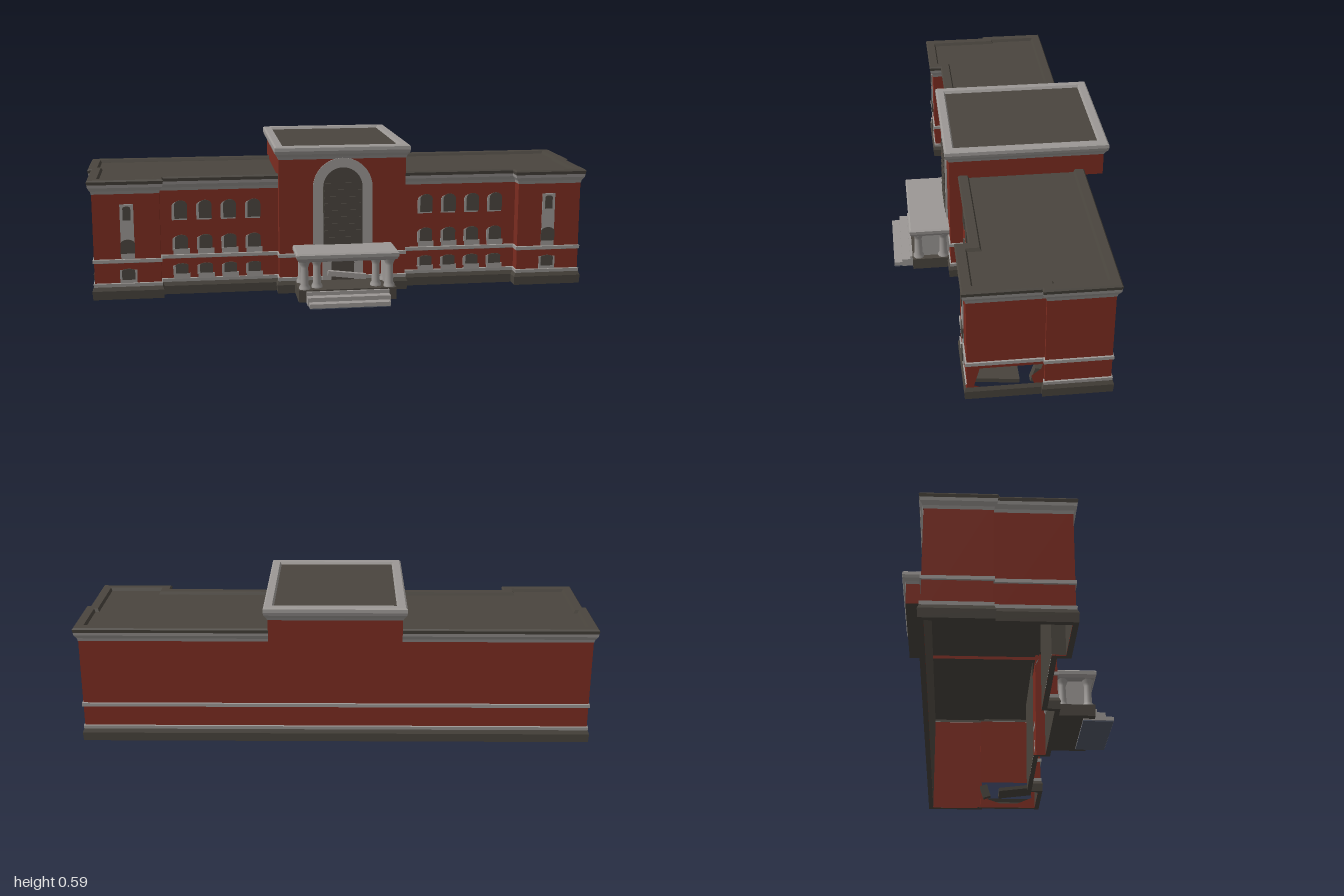
import * as THREE from 'three';

const mat = (name, color) => {
  const m = new THREE.MeshStandardMaterial({ color, side: THREE.DoubleSide });
  m.name = name;
  return m;
};

export function createModel() {
  const brick = mat('red brick', 0x7c2c20);
  const stone = mat('grey stone', 0x9c9895);
  const dark = mat('dark roof', 0x4a453e);
  const slate = mat('blue slate', 0x535a69);
  const model = new THREE.Group();

  const add = (name, geometry, material, x = 0, y = 0, z = 0, parent = model) => {
    const mesh = new THREE.Mesh(geometry, material);
    mesh.name = name;
    mesh.position.set(x, y, z);
    parent.add(mesh);
    return mesh;
  };
  // box given by its minimum and maximum corners
  const box = (name, material, x0, x1, y0, y1, z0, z1) =>
    add(name, new THREE.BoxGeometry(x1 - x0, y1 - y0, z1 - z0), material,
      (x0 + x1) / 2, (y0 + y1) / 2, (z0 + z1) / 2);

  // push a right-angled plan [x, z] outwards by o
  const offset = (plan, o) => plan.map((p, i) => {
    const n = plan.length, a = plan[(i + n - 1) % n], b = plan[(i + 1) % n];
    const n1 = [-Math.sign(p[1] - a[1]), Math.sign(p[0] - a[0])];
    const n2 = [-Math.sign(b[1] - p[1]), Math.sign(b[0] - p[0])];
    return [p[0] + o * (n1[0] + n2[0]), p[1] + o * (n1[1] + n2[1])];
  });
  // sweep a profile of [offset, height] round a plan, leaving out some edges
  const sweep = (name, material, plan, profile, skip = []) => {
    const v = [];
    for (let k = 0; k + 1 < profile.length; k++) {
      const lo = offset(plan, profile[k][0]), hi = offset(plan, profile[k + 1][0]);
      plan.forEach((_, i) => {
        if (skip.includes(i)) return;
        const j = (i + 1) % plan.length, y0 = profile[k][1], y1 = profile[k + 1][1];
        const a = [lo[i][0], y0, lo[i][1]], b = [lo[j][0], y0, lo[j][1]];
        const c = [hi[j][0], y1, hi[j][1]], d = [hi[i][0], y1, hi[i][1]];
        v.push(...a, ...b, ...c, ...a, ...c, ...d);
      });
    }
    const g = new THREE.BufferGeometry();
    g.setAttribute('position', new THREE.Float32BufferAttribute(v, 3));
    g.computeVertexNormals();
    return add(name, g, material);
  };
  const cap = (name, material, plan, y) => {
    const s = new THREE.Shape(plan.map(([x, z]) => new THREE.Vector2(x, -z)));
    return add(name, new THREE.ShapeGeometry(s).rotateX(-Math.PI / 2), material, 0, y, 0);
  };
  const rect = (x, z0, z1) => [[-x, z1], [x, z1], [x, z0], [-x, z0]];

  // plan of the building: centre bay, wings and end pavilions
  const half = [[0.25, 0.195], [0.25, 0.145], [0.71, 0.145], [0.71, 0.195],
    [0.965, 0.195], [0.965, -0.075], [0.98, -0.075], [0.98, -0.31]];
  const mirror = (pts) => [...pts, ...pts.map(([x, z]) => [-x, z]).reverse()];
  const plan = mirror(half);
  const wingPlan = mirror(half.map(([x, z], i) => [i < 2 ? 0.22 : x, z]));
  const centre = [0, 14, 15], brokenEnd = 4;

  // hollow brick shell with stone bands and a dark plinth
  sweep('walls', brick, plan, [[0, 0.01], [0, 0.45]], [brokenEnd]);
  sweep('innerLining', dark, plan, [[-0.012, 0.01], [-0.012, 0.44]], [0, 4, 5, 6, 8, 9, 10, 14]);
  sweep('plinth', dark, plan, [[-0.012, 0.006], [0.008, 0.006], [0.01, 0.04], [0.004, 0.055]]);
  sweep('lowerBand', stone, plan, [[0.004, 0.055], [0.005, 0.068], [0, 0.07]], [brokenEnd]);
  sweep('middleBand', stone, plan, [[0, 0.148], [0.005, 0.15], [0.005, 0.163], [0, 0.165]]);
  sweep('cornice', stone, wingPlan,
    [[0.001, 0.42], [0.004, 0.432], [0.013, 0.446], [0.015, 0.458]], centre);
  sweep('roofRim', dark, wingPlan,
    [[0.015, 0.458], [0.017, 0.47], [0.012, 0.476], [-0.02, 0.476], [-0.026, 0.464]], centre);
  cap('wingRoof', dark, wingPlan, 0.464);

  // left end wall with a broken opening
  const end = new THREE.Shape([[-0.195, 0.01], [0.075, 0.01], [0.075, 0.45], [-0.195, 0.45]]
    .map((p) => new THREE.Vector2(...p)));
  end.holes.push(new THREE.Path([[-0.17, 0.06], [-0.15, 0.135], [0.07, 0.135], [0.065, 0.115],
    [0.03, 0.085], [0.04, 0.05], [-0.02, 0.03], [-0.1, 0.03]].map((p) => new THREE.Vector2(...p))));
  add('brokenEndWall', new THREE.ShapeGeometry(end).rotateY(Math.PI / 2), brick, 0.965);
  const shard = box('brokenSlab', dark, 0.85, 0.96, 0.062, 0.078, 0.01, 0.165);
  shard.rotation.x = -0.12;
  box('brokenPost', dark, 0.93, 0.96, 0.05, 0.11, -0.07, -0.035).rotation.x = -0.3;

  // raised centre block, overhanging at the back
  const tower = rect(0.25, -0.4, 0.195);
  sweep('centreBlock', brick, tower, [[0, 0.45], [0, 0.545]]);
  cap('overhangUnderside', dark, rect(0.25, -0.4, -0.31), 0.45);
  sweep('centreCornice', stone, tower, [[0.001, 0.538], [0.005, 0.548], [0.014, 0.56],
    [0.017, 0.572], [0.016, 0.585], [0.01, 0.59], [-0.016, 0.59], [-0.022, 0.58]]);
  cap('centreRoof', dark, offset(tower, -0.02), 0.58);

  // upright plate with an arched head; rise is the height of the arch
  const archPlate = (name, material, x, y0, y1, w, rise, z, depth) => {
    const s = new THREE.Shape();
    s.moveTo(-w / 2, y0);
    s.lineTo(w / 2, y0);
    s.lineTo(w / 2, y1 - rise);
    s.absellipse(0, y1 - rise, w / 2, rise, 0, Math.PI, false);
    s.closePath();
    const g = new THREE.ExtrudeGeometry(s, { depth, bevelEnabled: false, curveSegments: 10 });
    return add(name, g, material, x, 0, z);
  };

  // windows
  const rows = [[0.308, 0.38, 0.02], [0.188, 0.243, 0.015], [0.088, 0.128, 0.008]];
  for (const side of [-1, 1]) {
    for (const x of [0.345, 0.44, 0.535, 0.63]) {
      rows.forEach(([y0, y1, rise], r) => {
        archPlate('windowSurround', stone, side * x - 0.006, y0 - 0.006, y1 - 0.004, 0.058, rise, 0.145, 0.003);
        archPlate('window', dark, side * x, y0, y1, 0.05, rise, 0.146, 0.005);
        if (r > 0) box('windowSill', stone, side * x - 0.032, side * x + 0.032, y0 - 0.022, y0, 0.144, 0.15);
      });
    }
    const px = side * 0.835;
    box('pavilionPanel', stone, px - 0.026, px + 0.026, 0.165, 0.38, 0.194, 0.199);
    archPlate('pavilionWindow', dark, px, 0.318, 0.372, 0.03, 0.008, 0.196, 0.006);
    archPlate('pavilionWindow', dark, px, 0.187, 0.242, 0.055, 0.018, 0.196, 0.006);
    box('pavilionSurround', stone, px - 0.033, px + 0.033, 0.07, 0.122, 0.194, 0.199);
    archPlate('pavilionWindow', dark, px, 0.083, 0.126, 0.05, 0.008, 0.196, 0.006);
  }

  // great arched window
  archPlate('archSurround', stone, 0, 0.19, 0.542, 0.235, 0.117, 0.19, 0.011);
  archPlate('archWindow', dark, 0, 0.195, 0.505, 0.155, 0.078, 0.197, 0.006);
  for (let i = 0; i < 9; i++) {
    const y = 0.22 + i * 0.027;
    box('windowBar', dark, -0.072, 0.072, y, y + 0.008, 0.2, 0.206);
  }

  // entrance porch with columns and steps
  box('porchBase', dark, -0.19, 0.19, 0.008, 0.055, 0.19, 0.345);
  const slab = rect(0.185, 0.19, 0.34);
  sweep('porchRoofEdge', stone, slab,
    [[-0.005, 0.163], [0.006, 0.168], [0.013, 0.18], [0.014, 0.193], [0.008, 0.199]]);
  cap('porchRoof', stone, offset(slab, 0.008), 0.199);
  cap('porchCeiling', stone, offset(slab, -0.005), 0.163);
  const shaft = [[0.022, 0.05], [0.022, 0.062], [0.016, 0.072], [0.014, 0.14], [0.018, 0.152], [0.024, 0.166]];
  const columnGeo = new THREE.LatheGeometry(shaft.map((p) => new THREE.Vector2(...p)), 16);
  for (const s of [-1, 1]) {
    for (const z of [0.22, 0.32]) add('porchColumn', columnGeo, stone, s * 0.165, 0, z);
    add('innerColumn', columnGeo, stone, s * 0.115, 0, 0.3);
    box('porchSideWall', stone, s * 0.16 - 0.005, s * 0.16 + 0.005, 0.05, 0.165, 0.195, 0.32);
  }
  archPlate('doorSurround', stone, 0, 0.05, 0.163, 0.16, 0.03, 0.195, 0.008);
  archPlate('door', dark, 0, 0.055, 0.145, 0.09, 0.02, 0.2, 0.006);
  box('handrail', stone, -0.07, 0.08, 0.085, 0.105, 0.27, 0.29).rotation.z = -0.12;
  [[0.355, 0.05, 0.16], [0.388, 0.036, 0.16], [0.42, 0.02, 0.155]].forEach(([z, y, w]) =>
    box('step', stone, -w, w, 0.004, y, 0.3, z));
  box('stepsUnderside', slate, -0.155, 0.155, 0, 0.005, 0.3, 0.418);

  return model;
}
